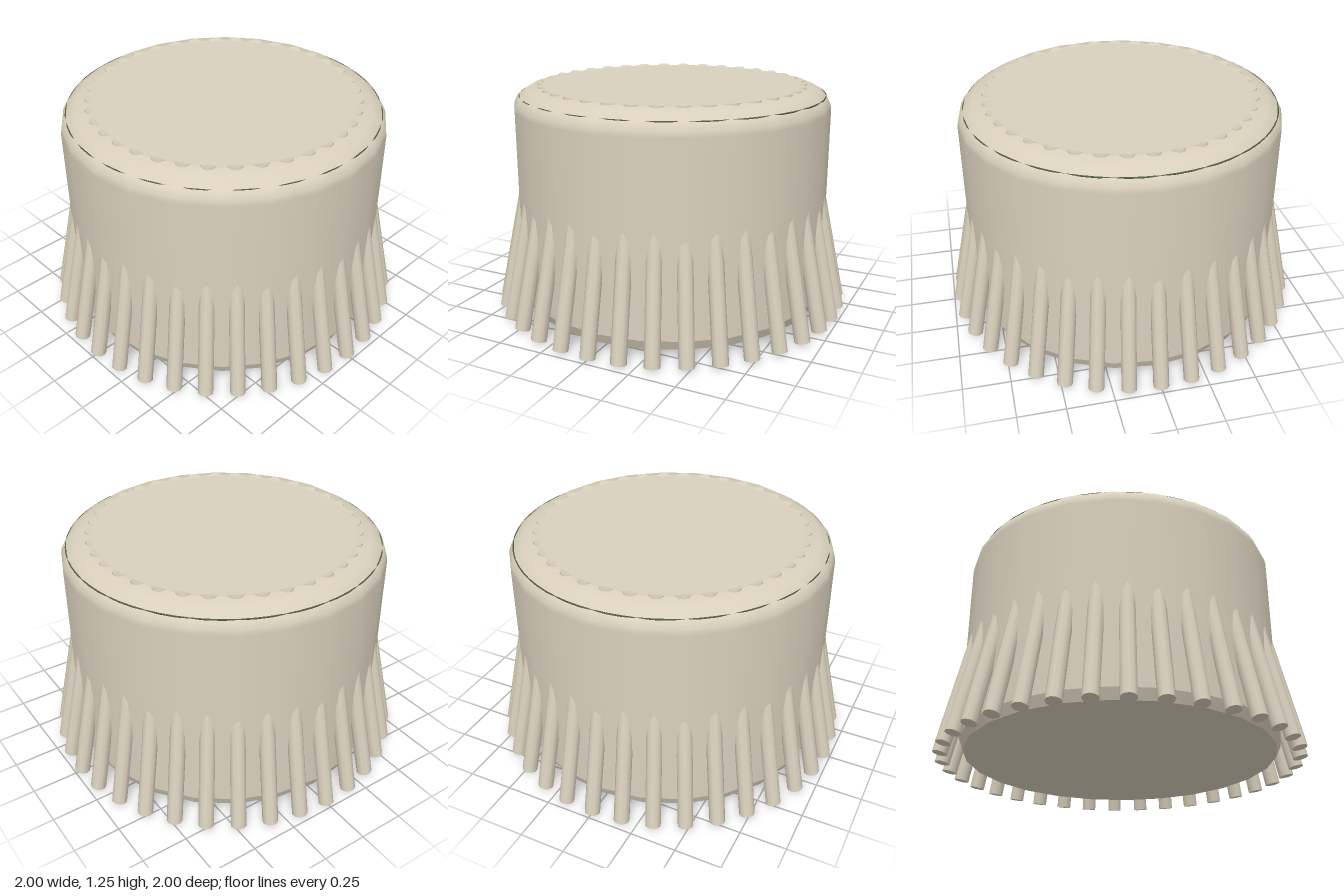
import * as THREE from 'three';

export function createModel() {
  const model = new THREE.Group();
  const cream = new THREE.MeshStandardMaterial({ name: 'cream', color: 0xd9d0bd });
  const darkGreen = new THREE.MeshStandardMaterial({ name: 'darkGreen', color: 0x55603f });

  const add = (name, geometry, material, parent = model) => {
    const mesh = new THREE.Mesh(geometry, material);
    mesh.name = name;
    parent.add(mesh);
    return mesh;
  };

  // Round body with bevelled rims; doubled points keep the edges sharp
  const profile = [
    [0, 0.045], [0.845, 0.045], [0.845, 0.045], [0.87, 0.1], [0.87, 0.1],
    [0.87, 1.12], [0.865, 1.15], [0.845, 1.19], [0.79, 1.225],
    [0.72, 1.238], [0.72, 1.238], [0, 1.238],
  ].map(([r, y]) => new THREE.Vector2(r, y));
  add('body', new THREE.LatheGeometry(profile, 24), cream);

  // Thin seam that just breaks the surface below the top rim
  const seam = add('rimSeam', new THREE.TorusGeometry(0.837, 0.004, 6, 72), darkGreen);
  seam.rotation.x = Math.PI / 2;
  seam.position.set(0.002, 1.19, -0.002);

  // Ring of leaning rods that pass through the body and show at the top
  const rods = new THREE.Group();
  rods.name = 'rods';
  model.add(rods);
  const count = 36;
  const bottom = new THREE.Vector3(0, 0.009, 0.96);
  const top = new THREE.Vector3(0, 1.237, 0.696);
  const axis = top.clone().sub(bottom);
  const rodGeometry = new THREE.CylinderGeometry(0.041, 0.041, axis.length(), 10);
  rodGeometry.rotateX(Math.atan2(axis.z, axis.y));
  rodGeometry.translate(0, (bottom.y + top.y) / 2, (bottom.z + top.z) / 2);
  for (let i = 0; i < count; i++) {
    add('rod', rodGeometry, cream, rods).rotation.y = (i / count) * Math.PI * 2;
  }

  return model;
}
